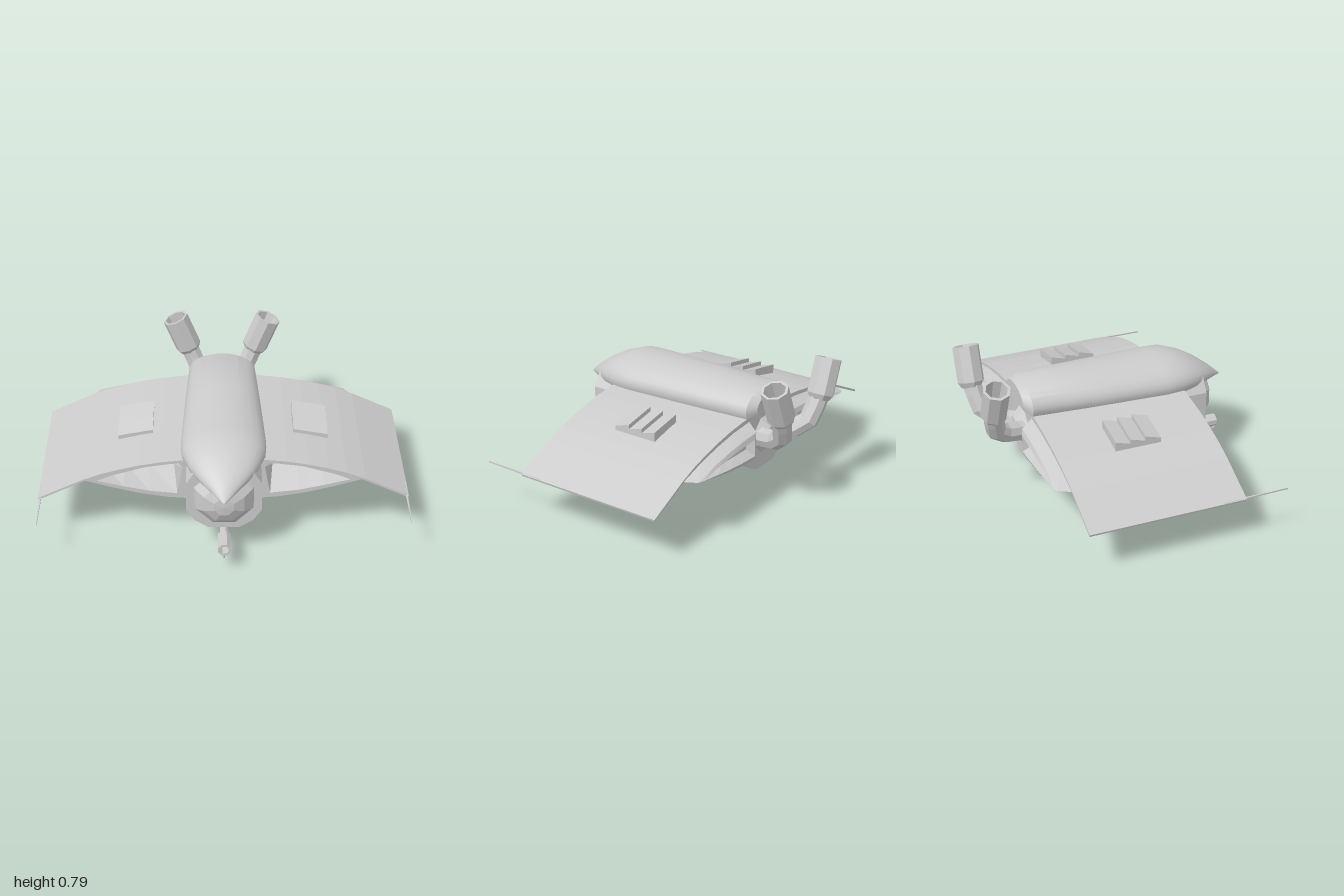
import * as THREE from 'three';
import { toCreasedNormals } from 'three/addons/utils/BufferGeometryUtils.js';

const flat = new THREE.MeshStandardMaterial({ color: 0xcccccc, flatShading: true });
const smooth = new THREE.MeshStandardMaterial({ color: 0xcccccc });
const V = (x, y, z) => new THREE.Vector3(x, y, z);

// Skin over rings of [x, y, z]; rings run from back to front, counterclockwise seen from the front
function loft(rings, backCap = true, frontCap = true) {
  const n = rings[0].length, pos = [];
  const tri = (...p) => p.forEach(q => pos.push(...q));
  for (let i = 0; i < rings.length - 1; i++) {
    for (let j = 0; j < n; j++) {
      const k = (j + 1) % n, a = rings[i], b = rings[i + 1];
      tri(a[j], a[k], b[k]);
      tri(a[j], b[k], b[j]);
    }
  }
  const cap = (ring, front) => {
    const c = [0, 1, 2].map(d => ring.reduce((s, p) => s + p[d], 0) / n);
    ring.forEach((p, j) => {
      const q = ring[(j + 1) % n];
      front ? tri(c, p, q) : tri(c, q, p);
    });
  };
  if (backCap) cap(rings[0], false);
  if (frontCap) cap(rings[rings.length - 1], true);
  const g = new THREE.BufferGeometry();
  g.setAttribute('position', new THREE.Float32BufferAttribute(pos, 3));
  g.computeVertexNormals();
  return g;
}

// Mirrored copy across x with the winding kept outward
function mirrored(geo) {
  const g = geo.index ? geo.toNonIndexed() : geo.clone();
  const p = g.attributes.position;
  for (let i = 0; i < p.count; i += 3) {
    const t = [0, 1, 2].map(k => V().fromBufferAttribute(p, i + k));
    [t[0], t[2], t[1]].forEach((v, k) => p.setXYZ(i + k, -v.x, v.y, v.z));
  }
  g.computeVertexNormals();
  return g;
}

const shapeOf = pts => new THREE.Shape(pts.map(p => new THREE.Vector2(...p)));
const extrude = (shape, z0, z1) =>
  new THREE.ExtrudeGeometry(shape, { depth: z1 - z0, bevelEnabled: false }).translate(0, 0, z0);
const lathe = (pts, sides) =>
  new THREE.LatheGeometry(pts.map(p => new THREE.Vector2(...p)), sides);
// Lathe whose axis runs along +z
const latheZ = (pts, sides, x, y) =>
  lathe(pts, sides).rotateY(Math.PI / sides).rotateX(Math.PI / 2).translate(x, y, 0);
const tube = (pts, segs, r, sides) =>
  new THREE.TubeGeometry(new THREE.CatmullRomCurve3(pts.map(p => V(...p))), segs, r, sides);

export function createModel() {
  const model = new THREE.Group();
  const add = (name, geo, mat = flat) => {
    const m = new THREE.Mesh(geo, mat);
    m.name = name;
    model.add(m);
  };
  const addPair = (name, geo) => {
    add(name + 'Left', geo);
    add(name + 'Right', mirrored(geo));
  };

  // Faceted central hull and nose dome
  const half = [[0.08, 0.178], [0.155, 0.225], [0.2, 0.29], [0.2, 0.46], [0.15, 0.54]];
  const hull = [...half, ...half.slice().reverse().map(([x, y]) => [-x, y])];
  add('hull', extrude(shapeOf(hull), -0.45, 0.57));
  add('noseDome', latheZ([[0.175, 0.56], [0.16, 0.59], [0.115, 0.635], [0.055, 0.662], [0, 0.667]], 8, 0, 0.375));
  add('tailHub', latheZ([[0, -0.51], [0.06, -0.5], [0.12, -0.44]], 8, 0, 0.37));

  // Smooth upper canopy ending in a beak
  const sections = [
    [-0.49, 0.14, 0.635, 0.54], [-0.45, 0.19, 0.66, 0.515], [-0.1, 0.21, 0.66, 0.505],
    [0.33, 0.23, 0.66, 0.5], [0.42, 0.222, 0.657, 0.5], [0.52, 0.185, 0.62, 0.5],
    [0.6, 0.135, 0.575, 0.495], [0.68, 0.065, 0.515, 0.475], [0.742, 0.004, 0.458, 0.452],
  ];
  const canopy = sections.map(([z, w, top, base]) => {
    const yc = base + (top - base) * 0.25;
    return Array.from({ length: 17 }, (_, k) => {
      const a = -0.35 + (Math.PI + 0.7) * k / 16;
      return [w * Math.cos(a), yc + (top - yc) * Math.sin(a), z];
    });
  });
  add('canopy', toCreasedNormals(loft(canopy), 0.6), smooth);

  // Thin curved wing skins
  const top = [[0.12, 0.52], [0.22, 0.512], [0.34, 0.499], [0.45, 0.48], [0.56, 0.454], [0.66, 0.425], [0.76, 0.387], [1, 0.273]];
  const under = top.slice().reverse().map(([x, y]) => [x - 0.003, y - 0.011]);
  addPair('wingSkin', extrude(shapeOf([...under, ...top].reverse()), -0.45, 0.425));

  // Lens-shaped wing root with an open front
  const lens = [[0.15, 0.255], [0.3, 0.268], [0.45, 0.294], [0.6, 0.334], [0.76, 0.382], [0.6, 0.437], [0.45, 0.474], [0.3, 0.5], [0.15, 0.512]];
  const mouth = [[0.25, 0.292], [0.4, 0.309], [0.54, 0.34], [0.68, 0.376], [0.6, 0.41], [0.42, 0.463], [0.24, 0.488], [0.22, 0.46]];
  const rootShape = shapeOf(lens);
  rootShape.holes.push(new THREE.Path(mouth.map(p => new THREE.Vector2(...p))));
  addPair('wingRoot', extrude(rootShape, -0.45, 0.415));
  const scaled = (pts, sx, sy, z, cx = 0.43) => pts.map(([x, y]) => [cx + (x - cx) * sx, 0.38 + (y - 0.38) * sy, z]);
  const intake = [scaled(mouth, 0.9, 0.12, 0.25), scaled(mouth, 1, 1, 0.415)].map(r => r.reverse());
  addPair('intakeRecess', loft(intake, true, false));

  // Rear fairing with a slit recessed into its back
  addPair('rearFairing', loft([
    scaled(lens, 0.72, 0.1, -0.48), scaled(lens, 0.78, 0.38, -0.525),
    scaled(lens, 0.87, 0.6, -0.515), scaled(lens, 0.98, 0.85, -0.45),
  ]));

  // Wing tip spikes
  const spike = (x, y, z) => [[x - 0.005, y - 0.004, z], [x + 0.005, y - 0.004, z], [x + 0.005, y + 0.004, z], [x - 0.005, y + 0.004, z]];
  addPair('wingTipSpike', loft([
    spike(0.992, 0.273, 0.3), spike(0.988, 0.273, 0.43),
    spike(0.986, 0.272, 0.67).map(([x, y, z]) => [0.986 + (x - 0.986) * 0.2, y, z]),
  ]));

  // Three louvres on each wing, high at the back
  for (let i = 0; i < 3; i++) {
    const z = 0.125 - i * 0.085, zb = z - 0.09;
    const ring = (zz, h) => [[0.385, 0.475, zz], [0.575, 0.44, zz], [0.575, 0.468 + h, zz], [0.385, 0.503 + h, zz]];
    addPair('louvre' + (i + 1), loft([ring(zb, 0.034), ring(z, 0.008)]));
  }

  // Exhaust pipes with wide hollow ends
  addPair('exhaustPipe', tube([[0.04, 0.37, -0.43], [0.08, 0.385, -0.53], [0.125, 0.435, -0.635], [0.2, 0.6, -0.675]], 5, 0.055, 8));
  const base = V(0.185, 0.56, -0.675), tip = V(0.27, 0.772, -0.675);
  const len = base.distanceTo(tip);
  const muffler = lathe([[0, 0], [0.055, 0], [0.075, 0.03], [0.075, len], [0.06, len], [0.052, len - 0.12], [0, len - 0.12]], 8);
  muffler.applyQuaternion(new THREE.Quaternion().setFromUnitVectors(V(0, 1, 0), tip.clone().sub(base).normalize()));
  addPair('exhaustEnd', muffler.translate(base.x, base.y, base.z));

  // Ammunition drum with bands, slung under the hull
  add('drum', latheZ([[0, -0.03], [0.1, -0.03], [0.1, 0.195], [0.082, 0.235], [0, 0.235]], 10, 0.105, 0.112));
  for (const z of [0.02, 0.14]) {
    add('drumBand', latheZ([[0.09, z], [0.105, z], [0.105, z + 0.018], [0.09, z + 0.018]], 10, 0.105, 0.112));
  }

  // Gun barrel, muzzle, mount, feed hose and front loop
  add('gunBarrel', latheZ([[0, -0.02], [0.028, -0.02], [0.028, 0.42], [0.022, 0.44], [0.022, 0.62]], 8, 0, 0.148));
  add('muzzle', latheZ([[0, 0.605], [0.036, 0.605], [0.036, 0.73], [0.025, 0.73], [0.022, 0.66], [0, 0.66]], 8, 0, 0.146));
  add('gunMount', new THREE.BoxGeometry(0.07, 0.05, 0.25).translate(0.01, 0.18, 0.1));
  add('feedHose', tube([[0.01, 0.14, 0.44], [0.03, 0.09, 0.4], [0.06, 0.07, 0.34], [0.09, 0.08, 0.28], [0.105, 0.112, 0.225]], 12, 0.008, 6));
  add('muzzleLoop', tube([[0, 0.122, 0.742], [0, 0.096, 0.73], [0, 0.09, 0.67], [0, 0.094, 0.61], [0, 0.13, 0.59]], 10, 0.004, 5));

  return model;
}
